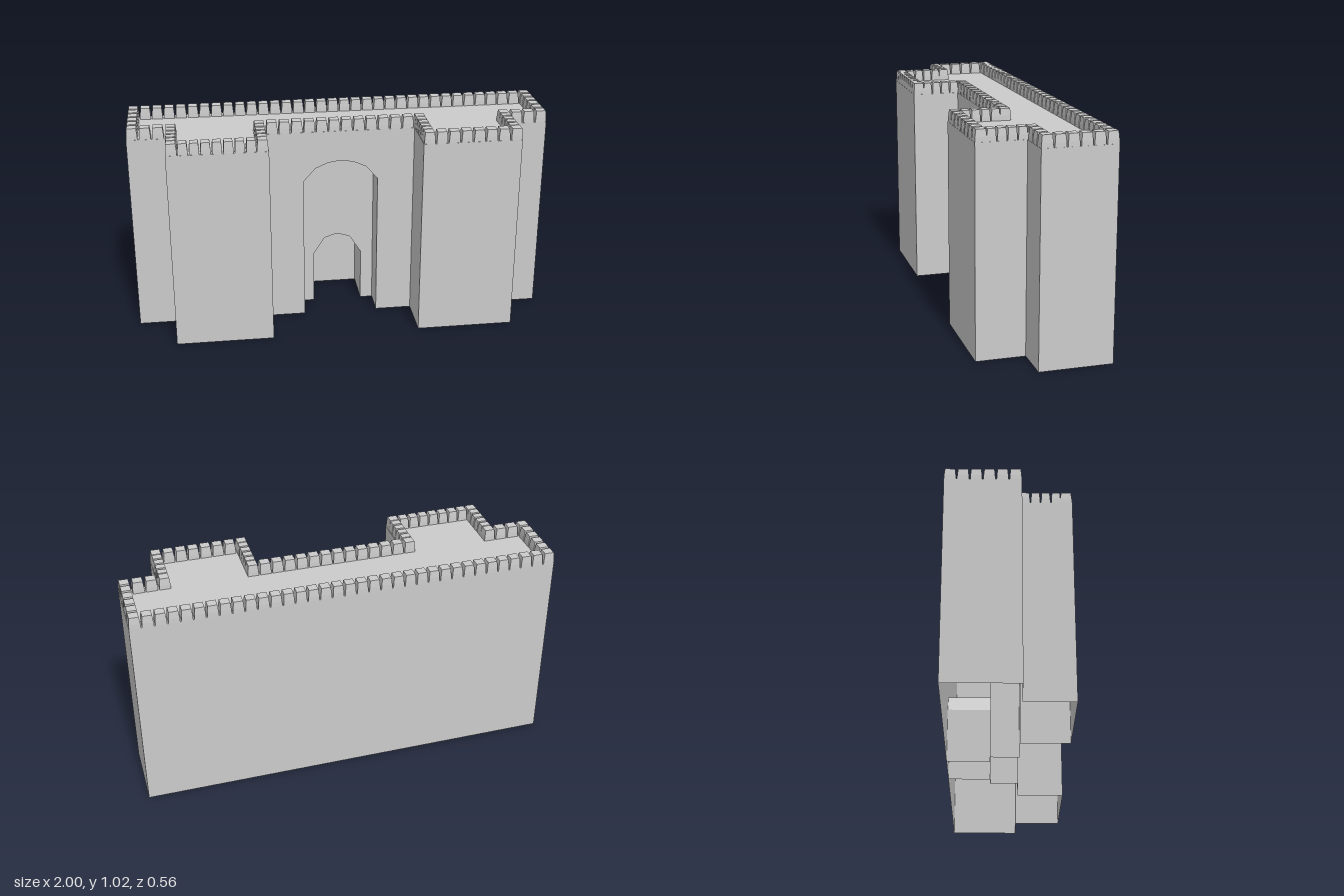
import * as THREE from 'three';
import { mergeGeometries } from 'three/addons/utils/BufferGeometryUtils.js';

const ROOF = 0.965, TOP = 1.02;
const FRONT = 0.055, NICHE = -0.08, BACK = -0.282, TOWER = 0.282;

const mat = new THREE.MeshStandardMaterial({ color: 0xcccccc, flatShading: true, side: THREE.DoubleSide });

// Ribbon joining two matching rows of points
function ribbon(a, b) {
  const pos = [];
  for (let i = 0; i < a.length - 1; i++) {
    pos.push(...a[i], ...a[i + 1], ...b[i + 1], ...a[i], ...b[i + 1], ...b[i]);
  }
  const g = new THREE.BufferGeometry();
  g.setAttribute('position', new THREE.Float32BufferAttribute(pos, 3));
  g.computeVertexNormals();
  return g;
}

// Mirrors half an arch (right foot to crown) into a full outline
const arch = (half) => [...half, ...half.slice(0, -1).reverse().map(([x, y]) => [-x, y])];

// Flat panel with an arched opening that reaches the ground
function archedPanel(outer, opening, z) {
  const shape = new THREE.Shape([...outer, ...opening].map(([x, y]) => new THREE.Vector2(x, y)));
  return new THREE.ShapeGeometry(shape).translate(0, 0, z);
}

// Lining of an arched recess between two depths
const lining = (outline, z0, z1) =>
  ribbon(outline.map(([x, y]) => [x, y, z1]), outline.map(([x, y]) => [x, y, z0]));

// Battlement block: straight foot, tapered upper half
function merlonGeometry(length, depth) {
  const g = new THREE.BoxGeometry(length, TOP - ROOF, depth, 1, 2, 1);
  const p = g.attributes.position;
  for (let i = 0; i < p.count; i++) {
    if (p.getY(i) > 0.01) p.setXYZ(i, p.getX(i) * 0.84, p.getY(i), p.getZ(i) * 0.84);
    else if (Math.abs(p.getY(i)) < 0.01) p.setXYZ(i, p.getX(i) * 0.97, -0.006, p.getZ(i) * 0.97);
  }
  g.computeVertexNormals();
  return g.translate(0, (TOP + ROOF) / 2, 0);
}

export function createModel() {
  const group = new THREE.Group();
  const add = (name, geometry) => {
    const mesh = new THREE.Mesh(geometry, mat);
    mesh.name = name;
    group.add(mesh);
  };

  // Footprint from the left of the gate round the back to its right
  const half = [[0.355, FRONT], [0.355, TOWER], [0.82, TOWER], [0.82, FRONT], [1, FRONT], [1, BACK]];
  const plan = [...half, ...half.slice().reverse().map(([x, z]) => [-x, z])];

  // Outer walls, hollow and open underneath
  add('outerWalls', ribbon(plan.map(([x, z]) => [x, ROOF, z]), plan.map(([x, z]) => [x, 0, z])));

  // Flat roof
  const roof = new THREE.ShapeGeometry(new THREE.Shape(plan.map(([x, z]) => new THREE.Vector2(x, -z))));
  add('roof', roof.rotateX(-Math.PI / 2).translate(0, ROOF, 0));

  // Gate wall with a tall niche and a doorway set in its back
  const tall = arch([[0.18, 0], [0.18, 0.715], [0.122, 0.78], [0.064, 0.806], [0, 0.817]]);
  const door = arch([[0.12, 0], [0.12, 0.262], [0.064, 0.35], [0, 0.37]]);
  add('gateWall', archedPanel([[-0.355, 0], [-0.355, ROOF], [0.355, ROOF], [0.355, 0]].reverse(),
    tall.slice().reverse(), FRONT));
  add('nicheLining', lining(tall, NICHE, FRONT));
  add('nicheBack', archedPanel(tall, door.slice().reverse(), NICHE));
  add('doorwayLining', lining(door, BACK, NICHE));

  // Battlements: corner [x, z] and the number of steps to the next corner
  const run = [
    [-0.973, -0.256, 34], [0.973, -0.256, 5], [0.973, 0.028, 3], [0.793, 0.028, 5],
    [0.793, 0.255, 7], [0.383, 0.255, 5], [0.383, 0.028, 13], [-0.383, 0.028, 5],
    [-0.383, 0.255, 8], [-0.793, 0.255, 5], [-0.793, 0.028, 3], [-0.973, 0.028, 5],
  ];
  const blocks = [];
  run.forEach(([x, z, n], i) => {
    const [x1, z1] = run[(i + 1) % run.length];
    const dx = (x1 - x) / n, dz = (z1 - z) / n;
    const pitch = Math.hypot(dx, dz);
    for (let k = 0; k < n; k++) {
      const length = k === 0 ? 0.052 : pitch * 0.9;
      const g = merlonGeometry(length, 0.052);
      if (Math.abs(dz) > Math.abs(dx)) g.rotateY(Math.PI / 2);
      blocks.push(g.translate(x + dx * k, 0, z + dz * k));
    }
  });
  add('battlements', mergeGeometries(blocks));

  return group;
}
